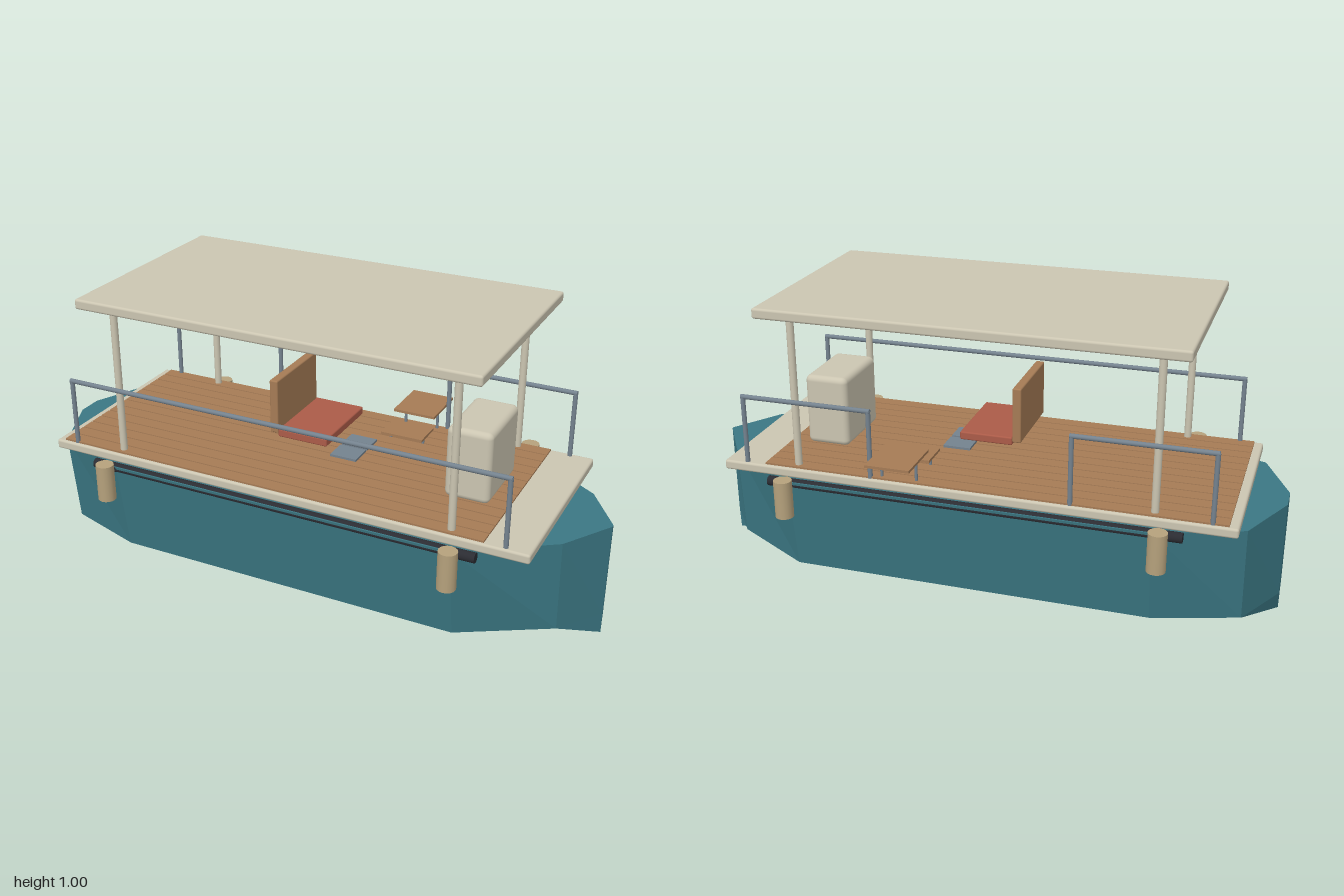
import * as THREE from 'three';
import { RoundedBoxGeometry } from 'three/addons/geometries/RoundedBoxGeometry.js';

const mat = (name, color) => {
  const m = new THREE.MeshStandardMaterial({ color });
  m.name = name;
  return m;
};

// Faceted hull lofted through V-bottomed stations [x, half width at deck]
function hullGeometry() {
  const stations = [[-1, 0.045], [-0.9, 0.268], [-0.62, 0.37], [0.6, 0.37], [0.89, 0.175], [1, 0.005]];
  const rings = stations.map(([x, w]) => [
    [x, 0.402, w], [x, 0.075, w * 0.865], [x, 0, 0], [x, 0.075, -w * 0.865], [x, 0.402, -w],
  ]);
  const pos = [];
  const tri = (a, b, c) => pos.push(...a, ...b, ...c);
  for (let i = 0; i < rings.length - 1; i++) {
    const a = rings[i], b = rings[i + 1];
    for (let j = 0; j < 5; j++) {
      const k = (j + 1) % 5; // the last strip is the flat top
      tri(a[j], a[k], b[k]);
      tri(a[j], b[k], b[j]);
    }
  }
  const s = rings[0], e = rings[rings.length - 1];
  for (let j = 1; j < 4; j++) {
    tri(s[0], s[j + 1], s[j]);
    tri(e[0], e[j], e[j + 1]);
  }
  const g = new THREE.BufferGeometry();
  g.setAttribute('position', new THREE.Float32BufferAttribute(pos, 3));
  g.computeVertexNormals();
  return g;
}

export function createModel() {
  const teal = mat('hull teal', 0x3b7783);
  const cream = mat('cream', 0xcbc5b1);
  const teak = mat('teak', 0xa57b55);
  const red = mat('cushion red', 0xab5b48);
  const steel = mat('rail steel', 0x74828e);
  const tan = mat('fender tan', 0xb5a17c);
  const black = mat('rubber black', 0x2b2c32);

  const model = new THREE.Group();
  model.name = 'tourBoat';

  const add = (name, geometry, material, x, y, z, parent = model) => {
    const m = new THREE.Mesh(geometry, material);
    m.name = name;
    m.position.set(x, y, z);
    parent.add(m);
    return m;
  };
  // Boxes given by their limits on each axis
  const box = (name, material, [x0, x1], [y0, y1], [z0, z1], r = 0, parent = model) => {
    const d = [x1 - x0, y1 - y0, z1 - z0];
    const g = r ? new RoundedBoxGeometry(...d, 3, r) : new THREE.BoxGeometry(...d);
    return add(name, g, material, (x0 + x1) / 2, (y0 + y1) / 2, (z0 + z1) / 2, parent);
  };
  const post = (name, material, r, x, y0, y1, z, parent = model) =>
    add(name, new THREE.CylinderGeometry(r, r, y1 - y0, 16), material, x, (y0 + y1) / 2, z, parent);
  const bar = (name, material, r, x0, x1, y, z, parent = model) => {
    const m = add(name, new THREE.CylinderGeometry(r, r, x1 - x0, 16), material, (x0 + x1) / 2, y, z, parent);
    m.rotation.z = Math.PI / 2;
    return m;
  };

  // Hull and deck slab
  add('hull', hullGeometry(), teal, 0, 0, 0);
  box('deckSlab', cream, [-0.88, 0.84], [0.408, 0.441], [-0.347, 0.347], 0.008);

  // Deck planks running fore and aft
  const planks = new THREE.Group();
  planks.name = 'deckPlanks';
  model.add(planks);
  const pitch = 0.0522;
  for (let i = -6; i <= 6; i++) {
    const z = i * pitch;
    box('plank', teak, [-0.85, 0.692], [0.437, 0.447], [z - 0.0235, z + 0.0235], 0, planks);
  }

  // Canopy and its four posts
  box('canopy', cream, [-0.715, 0.675], [0.965, 1.0], [-0.388, 0.388], 0.008);
  for (const x of [-0.62, 0.58])
    for (const z of [-0.313, 0.313]) post('canopyPost', cream, 0.0125, x, 0.44, 0.968, z);

  // Railings: one long run in front, two short runs beside the rear gate
  const railing = (x0, x1, z) => {
    const g = new THREE.Group();
    g.name = 'railing';
    model.add(g);
    bar('topRail', steel, 0.008, x0 - 0.006, x1 + 0.006, 0.674, z, g);
    for (const x of [x0, x1]) post('railPost', steel, 0.008, x, 0.44, 0.674, z, g);
  };
  railing(-0.8, 0.76, 0.332);
  railing(-0.8, -0.355, -0.332);
  railing(0.315, 0.76, -0.332);

  // Helm seat, footrest and console
  box('seatCushion', red, [-0.11, 0.07], [0.532, 0.56], [-0.143, 0.143], 0.005);
  box('seatBack', teak, [-0.14, -0.11], [0.543, 0.732], [-0.143, 0.143], 0.005);
  for (const s of [-1, 1])
    box('footrest', steel, [0.055, 0.15], [0.469, 0.477], [s * 0.045 - 0.04, s * 0.045 + 0.04]);
  box('console', cream, [0.48, 0.632], [0.445, 0.692], [-0.131, 0.131], 0.02);

  // Side table and low bench
  box('tableTop', teak, [0.145, 0.297], [0.517, 0.526], [-0.42, -0.24]);
  for (const x of [0.16, 0.28]) post('tableLeg', steel, 0.005, x, 0.44, 0.518, -0.318);
  box('benchTop', teak, [0.145, 0.297], [0.476, 0.485], [-0.24, -0.131]);
  for (const x of [0.16, 0.28]) post('benchLeg', steel, 0.005, x, 0.445, 0.477, -0.185);

  // Fenders and rub rails on both sides
  for (const s of [-1, 1]) {
    for (const x of [-0.645, 0.602]) post('fender', tan, 0.031, x, 0.29, 0.421, s * 0.397);
    bar('rubRail', black, 0.017, -0.715, 0.675, 0.391, s * 0.352);
  }
  return model;
}
